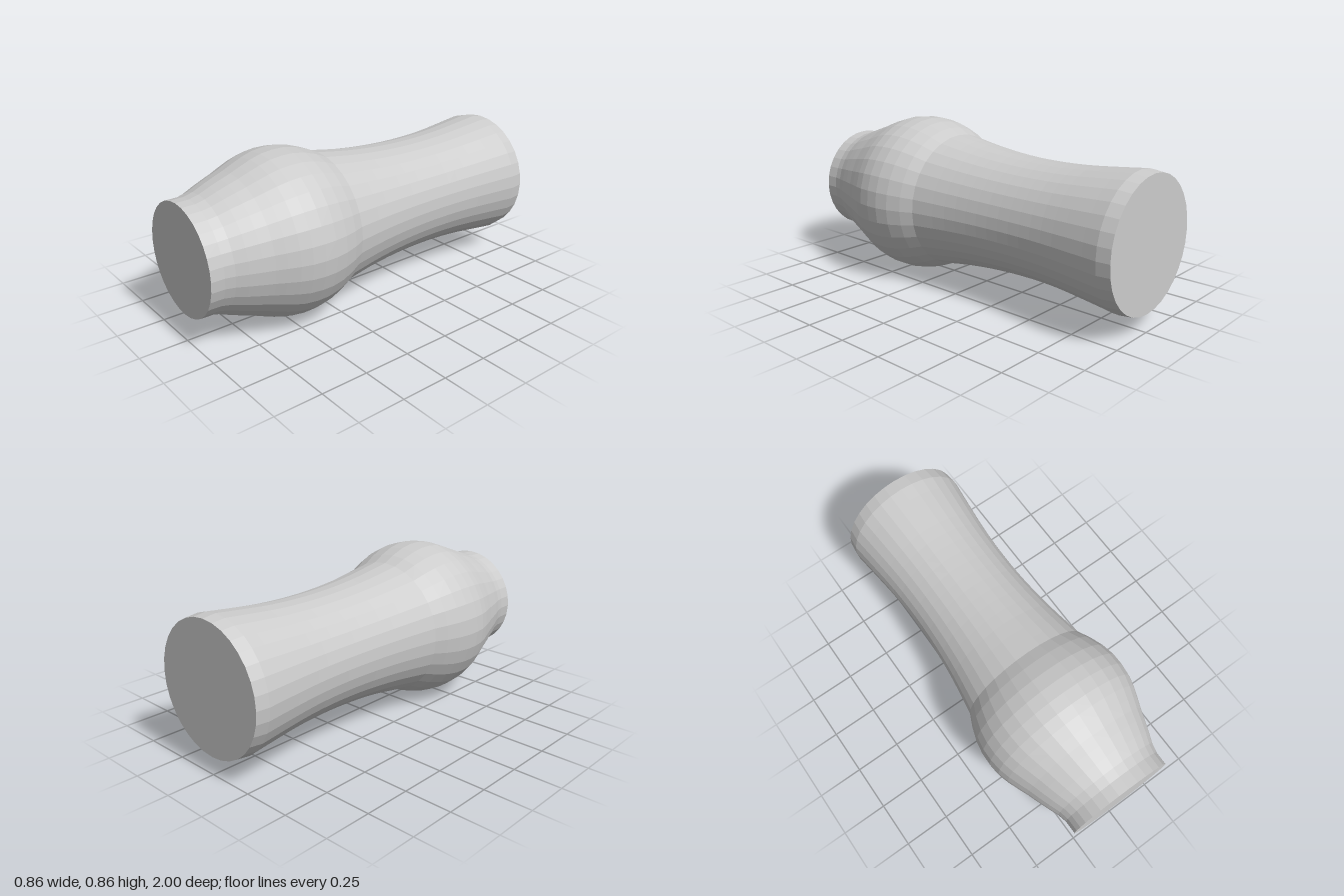
import * as THREE from 'three';

const SIDES = 32;
const AXIS_HEIGHT = 0.431;

// Smooth profile through [z, radius] pairs, running from back to front
function smooth(pairs, steps) {
  const curve = new THREE.SplineCurve(pairs.map(([z, r]) => new THREE.Vector2(r, z)));
  return curve.getPoints(steps);
}

const straight = (pairs) => pairs.map(([z, r]) => new THREE.Vector2(r, z));

export function createModel() {
  const group = new THREE.Group();
  group.name = 'turnedHandle';
  const material = new THREE.MeshStandardMaterial({ color: 0xcccccc, flatShading: true });

  // Each part is turned around the z axis
  function turned(name, profile) {
    const geometry = new THREE.LatheGeometry(profile, SIDES);
    geometry.rotateX(Math.PI / 2);
    const mesh = new THREE.Mesh(geometry, material);
    mesh.name = name;
    mesh.position.y = AXIS_HEIGHT;
    group.add(mesh);
  }

  // Back rim with its flat end face
  turned('backRim', straight([[-1, 0], [-1, 0.338], [-0.93, 0.346]]));

  // Long waisted shaft
  turned('shaft', smooth([
    [-0.93, 0.346], [-0.8, 0.331], [-0.6, 0.311], [-0.4, 0.304],
    [-0.2, 0.31], [0, 0.329], [0.2, 0.36],
  ], 18));

  // Swollen bulb, tapering to the collar
  turned('bulb', smooth([
    [0.2, 0.36], [0.28, 0.397], [0.37, 0.424], [0.45, 0.431], [0.53, 0.425],
    [0.6, 0.406], [0.67, 0.379], [0.73, 0.355], [0.8, 0.332], [0.87, 0.302], [0.93, 0.287],
  ], 12));

  // Front collar with its flat end face
  turned('frontCollar', straight([[0.93, 0.287], [1, 0.286], [1, 0]]));

  return group;
}
